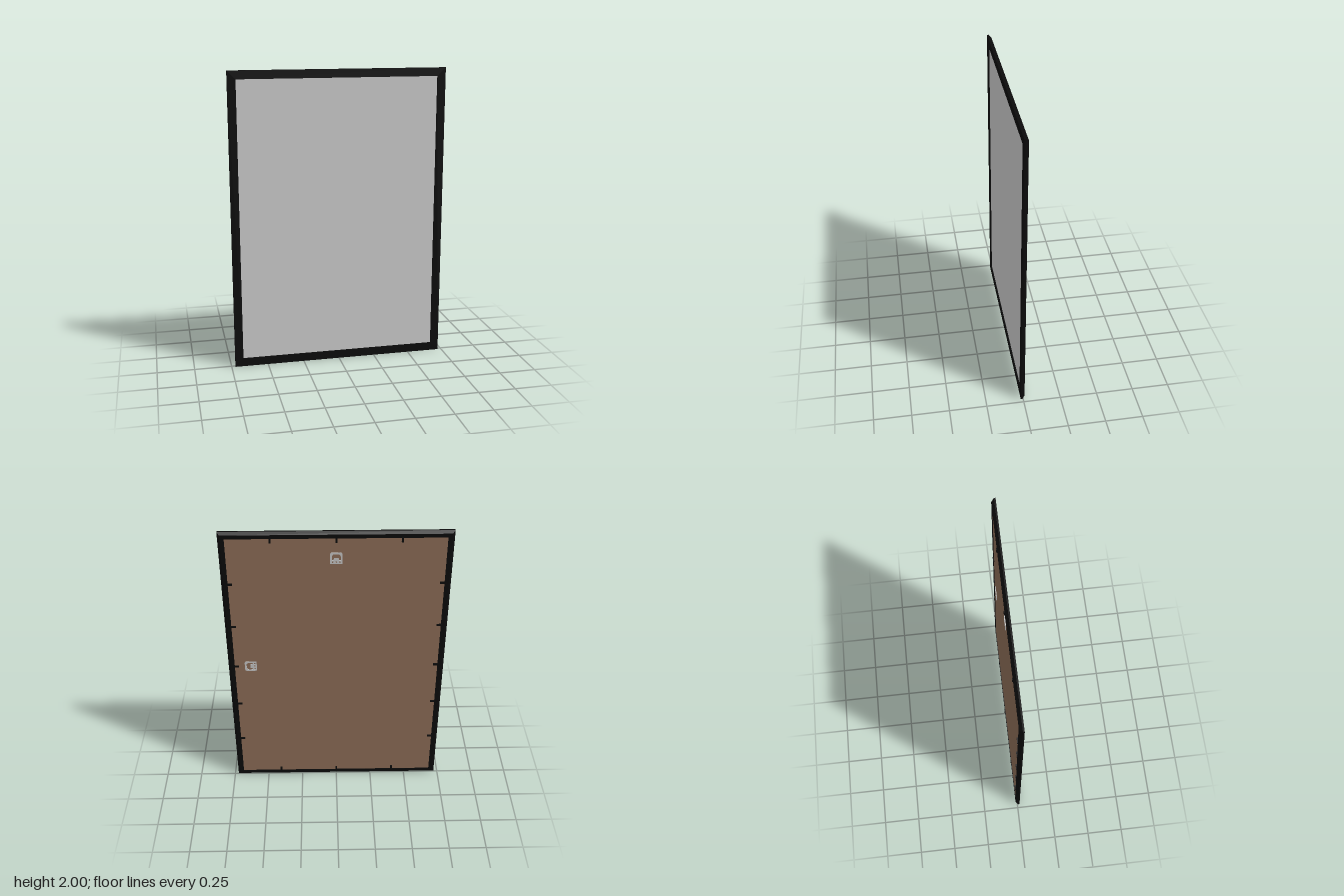
import * as THREE from 'three';

const W = 1.45, H = 2, CY = H / 2;

const mat = (name, color) => {
  const m = new THREE.MeshStandardMaterial({ color });
  m.name = name;
  return m;
};

// Sweep a closed [inset, z] profile round a rectangle with mitred corners
function mitredFrame(profile) {
  const corner = ([inset, z], i) => {
    const sx = i % 4 === 1 || i % 4 === 2 ? 1 : -1;
    const sy = i % 4 >= 2 ? 1 : -1;
    return [sx * (W / 2 - inset), CY + sy * (H / 2 - inset), z];
  };
  const pos = [];
  profile.forEach((a, k) => {
    const b = profile[(k + 1) % profile.length];
    for (let i = 0; i < 4; i++) {
      const p = corner(a, i), q = corner(a, i + 1), r = corner(b, i + 1), s = corner(b, i);
      pos.push(...p, ...q, ...r, ...p, ...r, ...s);
    }
  });
  const g = new THREE.BufferGeometry();
  g.setAttribute('position', new THREE.Float32BufferAttribute(pos, 3));
  g.computeVertexNormals();
  return g;
}

// Hanger plate: rounded outer end, notched opening and a strip with screw holes
function hangerGeometry() {
  const s = new THREE.Shape();
  s.moveTo(-0.038, -0.04);
  s.lineTo(0.038, -0.04);
  s.lineTo(0.038, 0.026);
  s.quadraticCurveTo(0.038, 0.04, 0.024, 0.04);
  s.lineTo(-0.024, 0.04);
  s.quadraticCurveTo(-0.038, 0.04, -0.038, 0.026);
  s.closePath();
  const slot = [[-0.028, -0.014], [-0.028, 0.014], [-0.02, 0.028], [0.02, 0.028], [0.028, 0.014],
    [0.028, -0.014], [0.018, -0.014], [0.014, 0.002], [-0.014, 0.002], [-0.018, -0.014]];
  s.holes.push(new THREE.Path(slot.map(([x, y]) => new THREE.Vector2(x, y))));
  for (const x of [-0.022, 0, 0.022]) {
    s.holes.push(new THREE.Path().absarc(x, -0.027, 0.006, 0, Math.PI * 2, true));
  }
  return new THREE.ExtrudeGeometry(s, { depth: 0.004, bevelEnabled: false, curveSegments: 8 });
}

export function createModel() {
  const group = new THREE.Group();
  group.name = 'pictureFrame';
  const black = mat('black frame', 0x0b0b0b);
  const grey = mat('light grey sheet', 0xcbcbcb);
  const brown = mat('brown backing', 0x8a6b55);
  const metal = mat('hanger metal', 0xc4c4c4);

  const add = (name, geometry, material, x, y, z) => {
    const m = new THREE.Mesh(geometry, material);
    m.name = name;
    m.position.set(x, y, z);
    group.add(m);
    return m;
  };

  // Moulding: flat front, rabbet inside, outer side tapering to the back
  add('frame', mitredFrame([
    [0, 0.016], [0.056, 0.016], [0.056, 0.009], [0.042, 0.009],
    [0.042, -0.012], [0.016, -0.012], [0, 0.006],
  ]), black, 0, 0, 0);

  // Front sheet and backing board
  add('frontSheet', new THREE.BoxGeometry(W - 0.085, H - 0.085, 0.004), grey, 0, CY, 0.007);
  add('backingBoard', new THREE.BoxGeometry(W - 0.084, H - 0.084, 0.013), brown, 0, CY, -0.0015);

  // Retaining clips round the back edge
  const clip = new THREE.BoxGeometry(0.012, 0.034, 0.008);
  for (const s of [-1, 1]) {
    for (const x of [-0.405, 0, 0.405]) {
      add('clip', clip, black, x, CY + s * 0.946, -0.012);
    }
    for (let i = -2; i <= 2; i++) {
      add('clip', clip, black, s * 0.671, CY + i * 0.32, -0.012).rotation.z = Math.PI / 2;
    }
  }

  // Hangers for portrait and landscape hanging
  const hanger = hangerGeometry();
  add('topHanger', hanger, metal, 0, 1.82, -0.012);
  add('sideHanger', hanger, metal, 0.575, 1, -0.012).rotation.z = -Math.PI / 2;

  return group;
}
